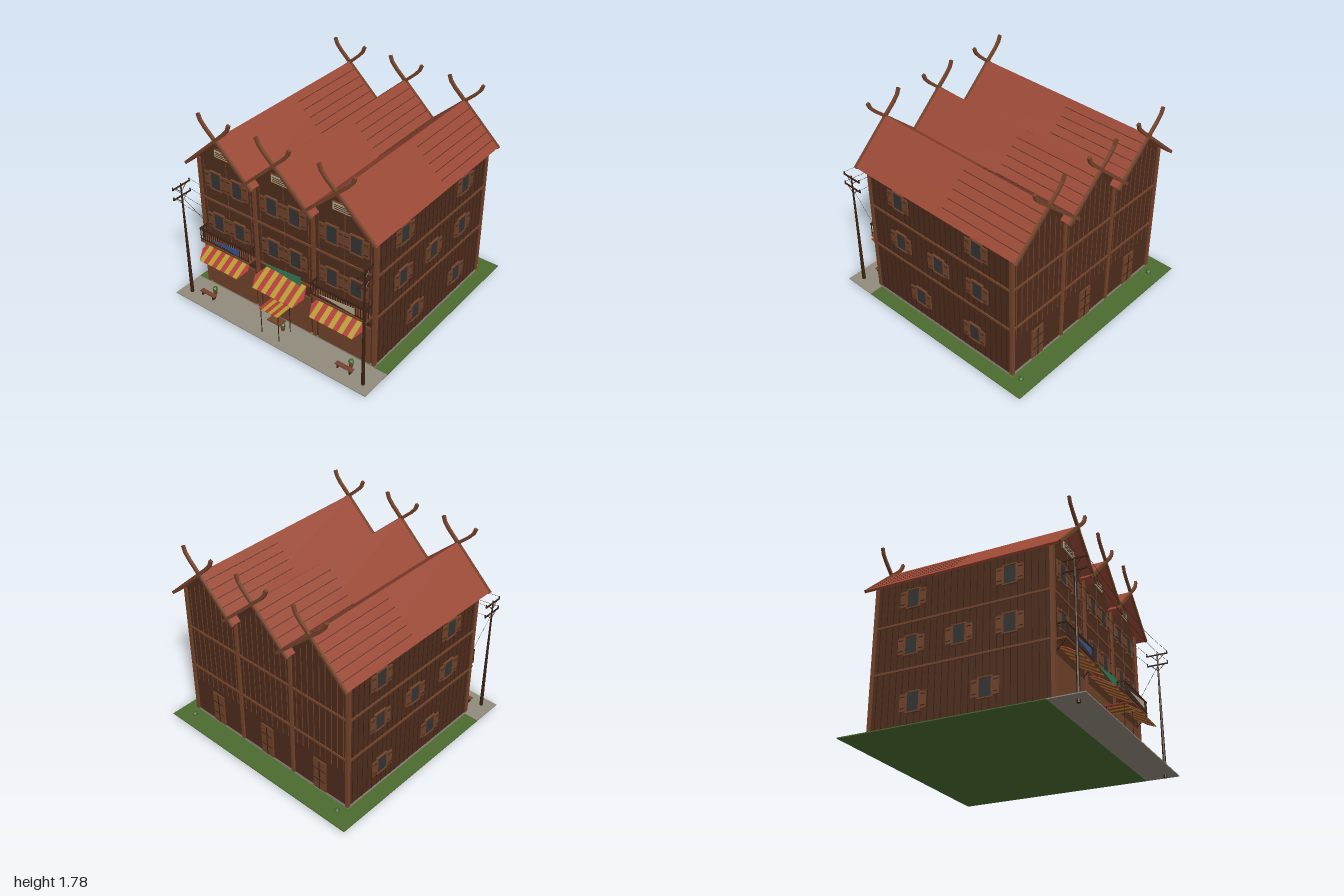
import * as THREE from 'three';

const mat = (color) => new THREE.MeshStandardMaterial({ color, side: THREE.DoubleSide, flatShading: true });
const M = {
  wall: mat(0x4f2c1d), dark: mat(0x3a2115), trim: mat(0x74432a), panel: mat(0x70432a), roof: mat(0x9a4835),
  seam: mat(0x5a2c20), glass: mat(0x353434), cream: mat(0xb5a88c), grass: mat(0x4b6b2e), stone: mat(0x928b7d),
  red: mat(0xb03a36), yellow: mat(0xb59a30), blue: mat(0x35558f), green: mat(0x2f7a55), leaf: mat(0x3f6a2c), metal: mat(0x302824),
};
const HOUSES = [-0.58, 0, 0.58];
const FRONT = 0.70, BACK = -0.81, SIDE = 0.87, GROUND = 0.032;

function add(parent, name, geo, m, x = 0, y = 0, z = 0) {
  const mesh = new THREE.Mesh(geo, m);
  mesh.name = name;
  mesh.position.set(x, y, z);
  parent.add(mesh);
  return mesh;
}
const box = (p, name, m, w, h, d, x, y, z) => add(p, name, new THREE.BoxGeometry(w, h, d), m, x, y, z);
const group = (p, name, x = 0, y = 0, z = 0) => {
  const g = new THREE.Group();
  g.name = name;
  g.position.set(x, y, z);
  p.add(g);
  return g;
};
const poly = (pts) => new THREE.Shape(pts.map(([x, y]) => new THREE.Vector2(x, y)));
const extrude = (pts, depth) => new THREE.ExtrudeGeometry(poly(pts), { depth, bevelEnabled: false });

// Round bar between two points
function bar(p, name, m, a, b, r0, r1 = r0, sides = 6) {
  const A = new THREE.Vector3(...a), B = new THREE.Vector3(...b), d = B.clone().sub(A);
  const mesh = add(p, name, new THREE.CylinderGeometry(r1, r0, d.length(), sides), m);
  mesh.position.copy(A.add(B).multiplyScalar(0.5));
  mesh.quaternion.setFromUnitVectors(new THREE.Vector3(0, 1, 0), d.normalize());
}

// Flat bent board of constant width following a path in the xy plane
function strip(path, width, depth) {
  const up = [], down = [];
  path.forEach((p, i) => {
    const a = path[Math.max(i - 1, 0)], b = path[Math.min(i + 1, path.length - 1)];
    const l = Math.hypot(b[0] - a[0], b[1] - a[1]);
    const nx = -(b[1] - a[1]) / l * width / 2, ny = (b[0] - a[0]) / l * width / 2;
    up.push([p[0] + nx, p[1] + ny]);
    down.unshift([p[0] - nx, p[1] - ny]);
  });
  return extrude(up.concat(down), depth);
}

// Shuttered window facing +z, centred on its own origin
function shutterWindow(parent, x, y, z, turn = 0) {
  const g = group(parent, 'window', x, y, z);
  g.rotation.y = turn;
  box(g, 'windowPane', M.glass, 0.1, 0.15, 0.012, 0, 0, 0.004);
  for (const s of [-1, 1]) {
    box(g, 'windowJamb', M.trim, 0.01, 0.17, 0.022, s * 0.055, 0, 0.006);
    box(g, 'windowRail', M.trim, 0.12, 0.01, 0.022, 0, s * 0.08, 0.006);
    box(g, 'shutter', M.panel, 0.05, 0.14, 0.01, s * 0.088, 0, 0.012);
    for (const t of [-1, 1]) box(g, 'shutterBatten', M.dark, 0.036, 0.006, 0.004, s * 0.088, t * 0.045, 0.018);
  }
}

// Striped awning: a sloping sheet with pointed ends
function awning(parent, x) {
  const g = group(parent, 'awning', x, 0.46, 0.79);
  g.rotation.x = -Math.atan2(0.18, 0.1);
  const n = 9, w = 0.41 / n, h = 0.103;
  for (let i = 0; i < n; i++)
    box(g, 'awningStripe', i % 2 ? M.red : M.yellow, w, 2 * h, 0.008, (i - (n - 1) / 2) * w, 0, 0);
  for (const s of [-1, 1])
    add(g, 'awningEnd', extrude([[s * 0.205, -h], [s * 0.25, 0], [s * 0.205, h]], 0.008), M.red, 0, 0, -0.004);
}

function balcony(parent, x) {
  const g = group(parent, 'balcony', x);
  box(g, 'balconyFloor', M.trim, 0.53, 0.016, 0.095, 0, 0.538, 0.745);
  box(g, 'handrail', M.dark, 0.53, 0.012, 0.012, 0, 0.66, 0.787);
  box(g, 'lowerRail', M.dark, 0.53, 0.008, 0.008, 0, 0.56, 0.787);
  for (let i = 0; i <= 22; i++) box(g, 'baluster', M.dark, 0.006, 0.11, 0.006, -0.26 + i * 0.52 / 22, 0.605, 0.787);
  for (const s of [-1, 1]) {
    box(g, 'sideRail', M.dark, 0.012, 0.012, 0.09, s * 0.26, 0.66, 0.745);
    for (const z of [0.72, 0.755]) box(g, 'sideBaluster', M.dark, 0.006, 0.11, 0.006, s * 0.26, 0.605, z);
    bar(g, 'balconyBrace', M.dark, [s * 0.25, 0.45, 0.70], [s * 0.25, 0.53, 0.78], 0.006);
  }
}

function house(parent, x, i) {
  const g = group(parent, 'house', x);
  // Roof and its seams
  add(g, 'roof', extrude([[0, 1.597], [-0.345, 1.277], [-0.333, 1.262], [0, 1.573], [0.333, 1.262], [0.345, 1.277]], 1.675),
    M.roof, 0, 0, -0.89);
  for (const s of [-1, 1]) for (let k = 1; k <= 5; k++) {
    const t = k / 6, seam = box(g, 'roofSeam', M.seam, 0.006, 0.004, 0.76, s * 0.345 * t, 1.597 - 0.32 * t, -0.5);
    seam.rotation.z = -s * 0.748;
  }
  // Gable boards crossing into curved horns
  for (const s of [-1, 1]) for (const z of [0.783, -0.905]) {
    add(g, 'gableBoard', strip([[s * 0.345, 1.268], [0, 1.588]], 0.024, 0.02), M.trim, 0, 0, z);
    add(g, 'gableHorn', strip([[s * 0.015, 1.575], [-s * 0.095, 1.675], [-s * 0.138, 1.725], [-s * 0.157, 1.775]], 0.026, 0.022),
      M.trim, 0, 0, z);
  }
  // Gable vent
  box(g, 'ventFrame', M.trim, 0.215, 0.075, 0.012, 0, 1.402, FRONT + 0.004);
  box(g, 'vent', M.cream, 0.2, 0.06, 0.014, 0, 1.402, FRONT + 0.008);
  for (const t of [-1, 0, 1]) box(g, 'ventSlat', M.dark, 0.17, 0.004, 0.004, 0, 1.402 + t * 0.016, FRONT + 0.016);
  // Shop front, windows and awning
  box(g, 'shopFront', M.panel, 0.5, 0.36, 0.016, 0, 0.24, FRONT + 0.005);
  for (const s of [-1, 1]) for (const y of [1.135, 0.735]) shutterWindow(g, s * 0.113, y, FRONT);
  awning(g, x - x);
  if (i !== 1) balcony(g, 0);
  // Pennant
  const p = [[-0.14, 0.605, 0.17, 0.635, 0.572], [-0.19, 0.595, 0.2, 0.635, 0.552], [-0.17, 0.6, 0.165, 0.632, 0.572]][i];
  add(g, 'pennant', extrude([[p[0], p[1]], [p[2], p[4]], [p[2], p[3]]], 0.004), [M.blue, M.green, M.cream][i], 0, 0, i === 1 ? 0.76 : 0.797);
  // Back door
  box(g, 'backDoor', M.panel, 0.13, 0.3, 0.014, 0, 0.21, BACK - 0.004);
  box(g, 'doorStile', M.dark, 0.008, 0.29, 0.004, 0, 0.21, BACK - 0.013);
  for (const y of [0.16, 0.27]) box(g, 'doorRail', M.dark, 0.12, 0.006, 0.004, 0, y, BACK - 0.013);
  // Wall battens
  for (let k = -4; k <= 4; k++) {
    const top = 1.52 - Math.abs(k) * 0.057, bx = k * 0.06;
    box(g, 'backBatten', M.trim, 0.005, top - 0.4, 0.005, bx, (top + 0.4) / 2, BACK - 0.001);
    if (Math.abs(k) > 3 || k === 0) box(g, 'frontBatten', M.trim, 0.005, top - 0.55, 0.005, bx, (top + 0.55) / 2, FRONT);
  }
}

export function createModel() {
  const root = new THREE.Group();
  root.name = 'rowOfTimberHouses';

  // Ground
  box(root, 'lawn', M.grass, 1.99, 0.008, 1.7, -0.005, GROUND - 0.004, -0.15);
  box(root, 'pavement', M.stone, 1.99, 0.008, 0.285, -0.005, GROUND - 0.004, 0.8425);
  box(root, 'plinth', M.stone, 1.74, 0.03, 1.51, 0, 0.046, -0.055);

  // Shared body with three gables
  const outline = [[-SIDE, 0.06], [SIDE, 0.06], [SIDE, 1.305]];
  for (const x of [...HOUSES].reverse()) outline.push([x, 1.574], [x - 0.29, 1.305]);
  add(root, 'walls', extrude(outline, FRONT - BACK), M.wall, 0, 0, BACK);
  HOUSES.forEach((x, i) => house(root, x, i));

  // Floor beams and posts
  for (const y of [0.535, 0.93]) {
    for (const z of [FRONT, BACK]) box(root, 'floorBeam', M.trim, 1.75, 0.018, 0.02, 0, y, z);
    for (const s of [-1, 1]) box(root, 'sideBeam', M.trim, 0.02, 0.018, 1.51, s * SIDE, y, -0.055);
  }
  for (const x of [-0.865, -0.29, 0.29, 0.865]) for (const z of [FRONT, BACK])
    box(root, 'post', M.trim, 0.03, 1.24, 0.03, x, 0.68, z);

  // Side walls
  for (const s of [-1, 1]) {
    for (const [y, zs] of [[1.13, [0.365, -0.47]], [0.73, [0.365, -0.055, -0.47]], [0.26, [0.17, -0.43]]])
      for (const z of zs) shutterWindow(root, s * SIDE, y, z, s * Math.PI / 2);
    for (let k = 0; k < 26; k++) box(root, 'sideBatten', M.dark, 0.005, 1.23, 0.005, s * SIDE, 0.675, 0.65 - k * 0.0565);
  }

  // Utility poles and sagging wires
  for (const s of [-1, 1]) {
    const x = s * 0.902;
    bar(root, 'utilityPole', M.dark, [x, 0, 0.893], [x, 1.13, 0.893], 0.016, 0.006, 8);
    for (const y of [1.11, 1.015]) {
      box(root, 'crossArm', M.dark, 0.01, 0.01, 0.19, x, y, 0.89);
      for (const z of [0.8, 0.98]) box(root, 'insulator', M.metal, 0.008, 0.024, 0.008, x, y + 0.012, z);
      for (const t of [-1, 1]) bar(root, 'armBrace', M.dark, [x, y - 0.06, 0.893], [x, y, 0.893 + t * 0.06], 0.003);
    }
    bar(root, 'serviceWire', M.metal, [x, 1.0, 0.89], [s * 0.86, 0.68, 0.71], 0.0015, 0.0015, 4);
  }
  for (const [y, z] of [[1.13, 0.8], [1.13, 0.98], [1.035, 0.8], [1.035, 0.98]]) {
    const pts = [-1, -0.5, 0, 0.5, 1].map((t) => new THREE.Vector3(t * 0.902, y - 0.07 * (1 - t * t), z));
    add(root, 'wire', new THREE.TubeGeometry(new THREE.CatmullRomCurve3(pts), 32, 0.0015, 4), M.metal);
  }

  // Market stall
  const stall = group(root, 'stall', 0, 0, 0.85);
  for (let i = 0; i < 6; i++)
    box(stall, 'stallCanopy', i % 2 ? M.yellow : M.red, 0.032, 0.005, 0.17, (i - 2.5) * 0.032, 0.292, 0);
  box(stall, 'stallCounter', M.panel, 0.13, 0.01, 0.08, 0, 0.15, -0.01);
  for (const x of [-0.09, 0.09]) for (const z of [-0.07, 0.07])
    box(stall, 'stallLeg', M.dark, 0.005, 0.26, 0.005, x, 0.16, z);

  // Pot plants, benches and shrubs
  for (const x of [-0.72, 0.03, 0.72]) {
    add(root, 'flowerPot', new THREE.CylinderGeometry(0.02, 0.014, 0.04, 8), M.panel, x, 0.052, 0.8);
    add(root, 'potPlant', new THREE.IcosahedronGeometry(0.024, 0), M.leaf, x, 0.09, 0.8);
  }
  for (const x of [-0.74, 0.7]) {
    box(root, 'benchSeat', M.trim, 0.16, 0.008, 0.04, x, 0.07, 0.86);
    for (const t of [-1, 1]) box(root, 'benchLeg', M.dark, 0.01, 0.038, 0.035, x + t * 0.06, 0.05, 0.86);
  }
  for (const x of [-0.82, 0.84]) add(root, 'shrub', new THREE.IcosahedronGeometry(0.025, 0), M.leaf, x, 0.04, -0.88);
  return root;
}
